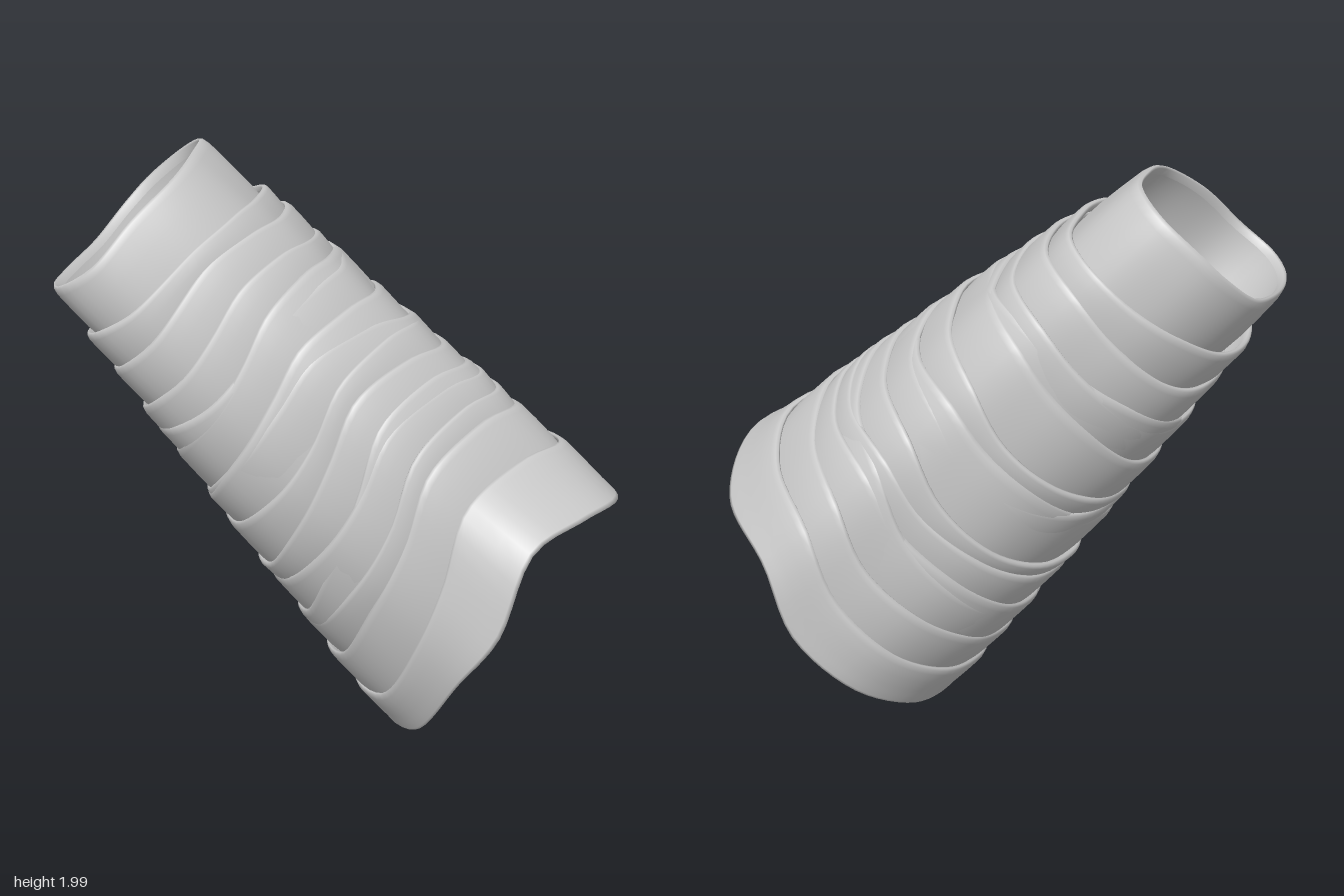
import * as THREE from 'three';

const V = (x, y, z) => new THREE.Vector3(x, y, z);
const SEG = 72;

// Frame of the leaning tube: n runs along the axis, u and v across it
const n = V(-0.45, 0.74, 0.49).normalize();
const u = V(n.z, 0, -n.x).normalize();
const v = n.clone().cross(u);

// Closed outline resampled at even angles around the axis
function loop(points) {
  const curve = new THREE.CatmullRomCurve3(points.map(p => V(...p)), true);
  const samples = curve.getPoints(2000);
  const c = samples.reduce((a, p) => a.add(p), V(0, 0, 0)).divideScalar(samples.length);
  const angles = samples.map(p => {
    const d = p.clone().sub(c);
    return Math.atan2(d.dot(v), d.dot(u));
  });
  return Array.from({ length: SEG }, (_, i) => {
    const target = i / SEG * Math.PI * 2;
    let best = 0, err = 9;
    angles.forEach((a, k) => {
      const e = 1 - Math.cos(a - target);
      if (e < err) { err = e; best = k; }
    });
    return samples[best];
  });
}

const topRim = loop([
  [-0.4, 1.65, 0.83], [-0.3, 1.72, 0.78], [-0.27, 1.85, 0.65], [-0.29, 1.95, 0.48],
  [-0.4, 1.99, 0.33], [-0.53, 1.995, 0.21], [-0.65, 1.94, 0.2], [-0.74, 1.84, 0.28],
  [-0.765, 1.76, 0.36], [-0.74, 1.66, 0.5], [-0.65, 1.62, 0.66], [-0.52, 1.62, 0.79]]);

// Lower outline of the wrapped body, and the flared rim of the last wrap
const around = [
  [0.02, 0.72 + 0.02, -0.81], [-0.06, 0.5, -0.76], [-0.15, 0.3, -0.6],
  [-0.13, 0.15, -0.38], [0, 0.05, -0.18], [0.14, 0.01, -0.05], [0.35, 0.08, 0.01]];
const bodyEnd = loop([...around, [0.54, 0.38, 0.04], [0.62, 0.62, 0], [0.63, 0.86, -0.08],
  [0.61, 0.95, -0.36], [0.56, 0.92, -0.6], [0.33, 0.83, -0.76]]);
const flareRim = loop([...around, [0.6, 0.4, 0.05], [0.72, 0.6, 0], [0.755, 0.88, -0.1],
  [0.745, 0.92, -0.33], [0.68, 0.9, -0.56], [0.4, 0.81, -0.77]]);

// Point on the tapered body at t (0 top, 1 bottom), pushed outward by off
function body(t, i, off) {
  const a = i / SEG * Math.PI * 2;
  const out = u.clone().multiplyScalar(Math.cos(a)).addScaledVector(v, Math.sin(a));
  const bulge = 0.015 * Math.sin(Math.PI * Math.min(1, Math.max(0, t)));
  return topRim[i].clone().lerp(bodyEnd[i], t).addScaledVector(out, off + bulge);
}

// Ring-shaped strip: point(row, i) gives each vertex
function strip(name, rows, point) {
  const pos = [], idx = [];
  for (let r = 0; r < rows; r++) {
    for (let i = 0; i < SEG; i++) {
      pos.push(...point(r, i).toArray());
      if (r === rows - 1) continue;
      const a = r * SEG + i, b = r * SEG + (i + 1) % SEG;
      idx.push(a, a + SEG, b, b, a + SEG, b + SEG);
    }
  }
  const g = new THREE.BufferGeometry();
  g.setAttribute('position', new THREE.Float32BufferAttribute(pos, 3));
  g.setIndex(idx);
  g.computeVertexNormals();
  const mesh = new THREE.Mesh(g, new THREE.MeshStandardMaterial({ color: 0xcccccc, side: THREE.DoubleSide }));
  mesh.name = name;
  return mesh;
}

// Wrap section: [fraction of length, outward offset], folded over at the upper edge
const section = [[0.12, -0.004], [0.02, 0.002], [0, 0.01], [0.03, 0.017], [0.12, 0.02],
  [0.4, 0.014], [0.7, 0.006], [1, -0.008]];
const starts = [0, 0.12, 0.18, 0.26, 0.33, 0.43, 0.5, 0.59, 0.65, 0.72, 0.79, 0.89];

export function createModel() {
  const group = new THREE.Group();
  group.name = 'wrappedTube';
  let seed = 11;
  const rand = () => (seed = (seed * 16807) % 2147483647) / 2147483647;

  // Uneven upper edge of each wrap
  const edges = starts.map((t, k) => {
    const p = rand() * 6.28, q = rand() * 6.28, tilt = k ? 0.012 + 0.014 * rand() : 0;
    return i => {
      const a = i / SEG * Math.PI * 2;
      return t + tilt * Math.cos(a - p) + (k ? 0.004 * Math.sin(3 * a + q) : 0);
    };
  });

  // Overlapping wraps, each tucked under the next one down
  for (let k = 0; k < starts.length - 1; k++) {
    const phase = rand() * 6.28;
    group.add(strip('wrap' + (k + 1), section.length, (r, i) => {
      const [s, off] = section[r];
      const t0 = edges[k](i), t1 = edges[k + 1](i) + 0.03;
      const wave = 0.004 * Math.sin(3 * i / SEG * Math.PI * 2 + phase);
      return body(t0 + (t1 - t0) * s, i, (k ? off : off - 0.014) + wave);
    }));
  }

  // Slanting wraps that cross the regular ones
  [[0.3, 0.045, 0.9], [0.47, 0.05, 2.6], [0.68, 0.045, 4.2]].forEach(([t, tilt, p], k) => {
    group.add(strip('slantingWrap' + (k + 1), section.length, (r, i) => {
      const [s, off] = section[r];
      const top = t + tilt * Math.cos(i / SEG * Math.PI * 2 - p);
      return body(top + 0.11 * s, i, off - 0.001);
    }));
  });

  // Last wrap, flaring out to an irregular rim with a folded hem
  const hem = [...section.slice(0, 5), [0.35, 0.016], [0.6, 0.01], [0.8, 0.005], [0.95, 0.003],
    [1, 0], [0.98, -0.01], [0.85, -0.014], [0.6, -0.01]];
  const last = edges[edges.length - 1];
  group.add(strip('flaredHem', hem.length, (r, i) => {
    const [s, off] = hem[r];
    const t0 = last(i);
    const flare = flareRim[i].clone().sub(bodyEnd[i]).multiplyScalar(s ** 1.4);
    return body(t0 + (1 - t0) * s, i, off).add(flare);
  }));
  return group;
}
